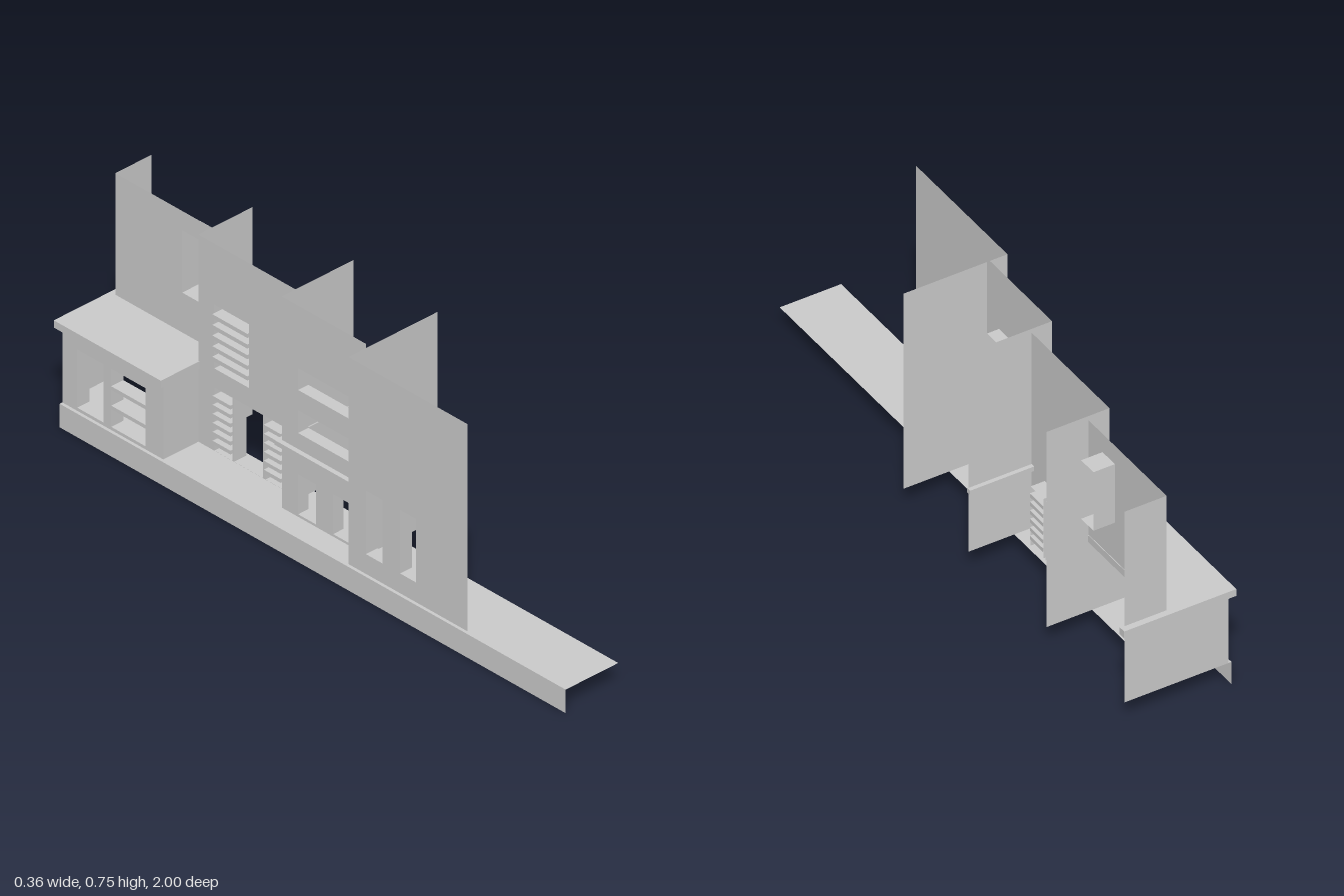
import * as THREE from 'three';

const mat = new THREE.MeshStandardMaterial({ color: 0xcccccc, side: THREE.DoubleSide, flatShading: true });
const FLOOR = 0.075, BACK = 0.165;

function add(parent, name, geometry) {
  const mesh = new THREE.Mesh(geometry, mat);
  mesh.name = name;
  parent.add(mesh);
  return mesh;
}

// solid box from its limits
function box(parent, name, x0, x1, y0, y1, z0, z1) {
  add(parent, name, new THREE.BoxGeometry(x1 - x0, y1 - y0, z1 - z0))
    .position.set((x0 + x1) / 2, (y0 + y1) / 2, (z0 + z1) / 2);
}

function rectangle(Type, a0, a1, b0, b1) {
  return new Type([[a0, b0], [a1, b0], [a1, b1], [a0, b1]].map(p => new THREE.Vector2(...p)));
}

// thin wall at constant x, facing -x; openings are { z: [a, b], y: [a, b] }
function facade(parent, name, x, z, y, openings = []) {
  const shape = rectangle(THREE.Shape, z[0], z[1], y[0], y[1]);
  for (const o of openings) shape.holes.push(rectangle(THREE.Path, o.z[0], o.z[1], o.y[0], o.y[1]));
  add(parent, name, new THREE.ShapeGeometry(shape).rotateY(-Math.PI / 2)).position.x = x;
}

// thin wall at constant z, facing -z
function sideWall(parent, name, z, x0, x1, y0, y1) {
  add(parent, name, new THREE.PlaneGeometry(x1 - x0, y1 - y0).rotateY(Math.PI))
    .position.set((x0 + x1) / 2, (y0 + y1) / 2, z);
}

// open rectangular tube running inwards from an opening
function reveal(parent, x, depth, o) {
  const tube = new THREE.CylinderGeometry(Math.SQRT1_2, Math.SQRT1_2, 1, 4, 1, true)
    .rotateY(Math.PI / 4).rotateZ(Math.PI / 2)
    .scale(depth, o.y[1] - o.y[0], o.z[1] - o.z[0]).toNonIndexed();
  tube.computeVertexNormals();
  add(parent, 'windowReveal', tube)
    .position.set(x + depth / 2, (o.y[0] + o.y[1]) / 2, (o.z[0] + o.z[1]) / 2);
}

// evenly spaced horizontal slats across an opening
function slats(parent, name, x0, x1, o, count, thick) {
  const step = (o.y[1] - o.y[0]) / (count + 1);
  for (let i = 1; i <= count; i++) {
    const y = o.y[0] + i * step;
    box(parent, name, x0, x1, y - thick / 2, y + thick / 2, o.z[0], o.z[1]);
  }
}

function section(parent, name) {
  const g = new THREE.Group();
  g.name = name;
  parent.add(g);
  return g;
}

export function createModel() {
  const model = new THREE.Group();
  model.name = 'streetFacades';

  // pavement: top sheet and street-side kerb
  const pavement = section(model, 'pavement');
  add(pavement, 'pavementTop', new THREE.PlaneGeometry(0.195, 1.98).rotateX(-Math.PI / 2))
    .position.set(-0.0775, FLOOR, 0.01);
  facade(pavement, 'kerb', -0.175, [-0.98, 1], [0, FLOOR]);

  // first house: two tall windows
  const first = section(model, 'firstHouse');
  const tall = [[0.208, 0.273], [0.342, 0.404]].map(z => ({ z, y: [0.138, 0.34] }));
  facade(first, 'firstFacade', -0.165, [0.14, 0.605], [FLOOR, 0.735], tall);
  tall.forEach(o => reveal(first, -0.165, 0.043, o));
  sideWall(first, 'firstSideWall', 0.14, -0.165, BACK, FLOOR, 0.735);

  // second house: two wide windows above a ledge, two small ones below
  const second = section(model, 'secondHouse');
  const panes = [
    { z: [0.011, 0.079], y: [0.083, 0.21] }, { z: [-0.126, -0.057], y: [0.083, 0.21] },
    { z: [-0.126, 0.079], y: [0.342, 0.414] }, { z: [-0.126, 0.079], y: [0.479, 0.548] },
  ];
  facade(second, 'secondFacade', -0.1, [-0.19, 0.14], [FLOOR, 0.748], panes);
  panes.forEach(o => reveal(second, -0.1, 0.038, o));
  sideWall(second, 'secondSideWall', -0.19, -0.1, BACK, FLOOR, 0.748);
  box(second, 'frontLedge', -0.115, -0.1, 0.276, 0.291, -0.203, 0.139);
  box(second, 'sideLedge', -0.1, 0.168, 0.276, 0.291, -0.203, -0.186);

  // third house: doorway between slatted lights, slatted window above
  const third = section(model, 'thirdHouse');
  const door = { z: [-0.445, -0.333], y: [0.0755, 0.276] };
  const lights = [[-0.322, -0.256], [-0.522, -0.452]].map(z => ({ z, y: [0.0755, 0.276] }));
  const upper = { z: [-0.523, -0.386], y: [0.337, 0.54] };
  facade(third, 'thirdFacade', -0.035, [-0.585, -0.19], [FLOOR, 0.735], [door, ...lights, upper]);
  [door, ...lights, upper].forEach(o => reveal(third, -0.035, 0.045, o));
  lights.forEach(o => slats(third, 'doorSlat', -0.042, 0.012, o, 6, 0.012));
  slats(third, 'windowSlat', -0.042, 0.005, upper, 5, 0.013);
  sideWall(third, 'thirdSideWall', -0.585, -0.035, BACK, FLOOR, 0.735);

  // fourth house: projecting shop front with a flat roof, set-back upper storey
  const fourth = section(model, 'fourthHouse');
  const shop = [[-0.789, -0.655], [-0.922, -0.82]].map(z => ({ z, y: [0.085, 0.27] }));
  facade(fourth, 'shopFacade', -0.165, [-0.98, -0.585], [FLOOR, 0.32], shop);
  shop.forEach(o => reveal(fourth, -0.165, 0.045, o));
  slats(fourth, 'shopShelf', -0.165, -0.12, shop[0], 2, 0.012);
  sideWall(fourth, 'shopInnerWall', -0.585, -0.165, -0.035, FLOOR, 0.32);
  sideWall(fourth, 'shopEndWall', -0.98, -0.165, BACK, FLOOR, 0.32);
  box(fourth, 'shopRoof', -0.178, 0.033, 0.31, 0.333, -1, -0.581);
  box(fourth, 'sideCornice', 0.033, 0.178, 0.31, 0.333, -1, -0.975);
  const attic = { z: [-0.718, -0.655], y: [0.46, 0.658] };
  facade(fourth, 'upperFacade', 0.031, [-0.98, -0.585], [0.32, 0.72], [attic]);
  reveal(fourth, 0.031, 0.068, attic);
  sideWall(fourth, 'upperEndWall', -0.98, 0.031, BACK, 0.32, 0.72);

  return model;
}
